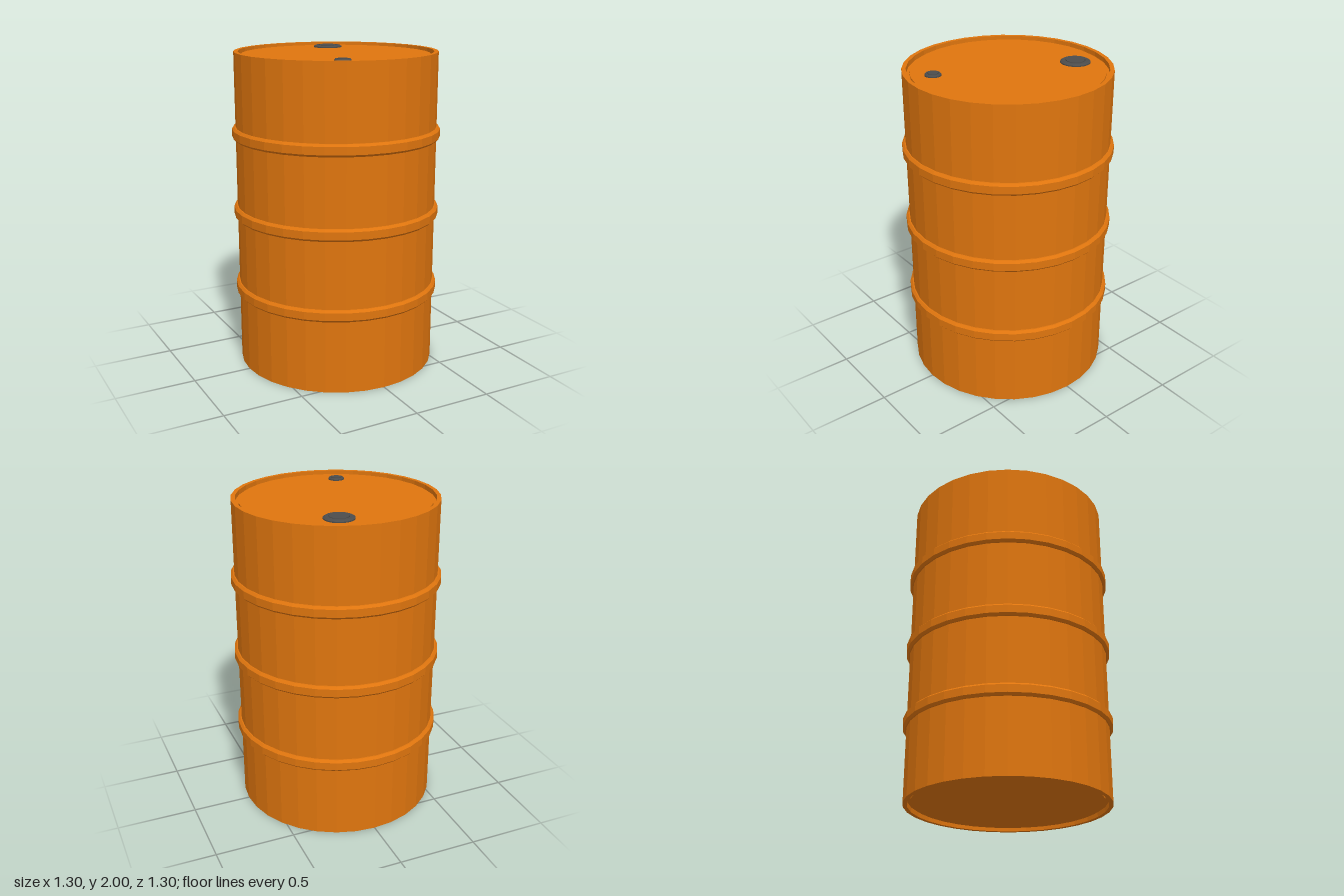
import * as THREE from 'three';

const SEGMENTS = 32;

export function createModel() {
  const orange = new THREE.MeshStandardMaterial({ color: 0xdf750e, flatShading: true });
  orange.name = 'orange paint';
  const grey = new THREE.MeshStandardMaterial({ color: 0x4c4c4c, flatShading: true });
  grey.name = 'dark grey metal';

  const model = new THREE.Group();
  model.name = 'drum';

  // Revolve a profile of [radius, height] pairs, listed bottom to top on the outside
  function lathe(name, profile, material) {
    const points = profile.map(([r, y]) => new THREE.Vector2(r, y));
    const mesh = new THREE.Mesh(new THREE.LatheGeometry(points, SEGMENTS), material);
    mesh.name = name;
    model.add(mesh);
    return mesh;
  }

  // Half of the shell: wall, rim, groove and recessed lid; the bottom mirrors the top
  const topHalf = [
    [0.63, 2], [0.604, 2], [0.604, 1.97], [0.584, 1.97],
    [0.584, 1.982], [0.565, 1.982], [0, 1.982],
  ];
  const bottomHalf = topHalf.map(([r, y]) => [r, 2 - y]).reverse();
  lathe('shell', [...bottomHalf, ...topHalf], orange);

  // Chamfered rolling hoops
  const hoop = [
    [0.625, -0.038], [0.638, -0.038], [0.652, -0.024],
    [0.652, 0.024], [0.638, 0.038], [0.625, 0.038],
  ];
  for (const y of [0.5, 1, 1.5]) {
    lathe('rollingHoop', hoop, orange).position.y = y;
  }

  // Screw caps on the lid: bevelled flange, narrow gap, central plug
  function addCap(name, x, z, radius, bevel, plug) {
    lathe(name, [
      [radius, 0], [radius, 0.007], [radius - bevel, 0.014],
      [plug + 0.003, 0.014], [plug + 0.003, 0.004], [plug, 0.004],
      [plug, 0.016], [0, 0.016],
    ], grey).position.set(x, 1.982, z);
  }
  addCap('largeCap', 0.15, -0.4, 0.092, 0.012, 0.057);
  addCap('smallCap', -0.177, 0.415, 0.05, 0.006, 0.031);

  return model;
}
